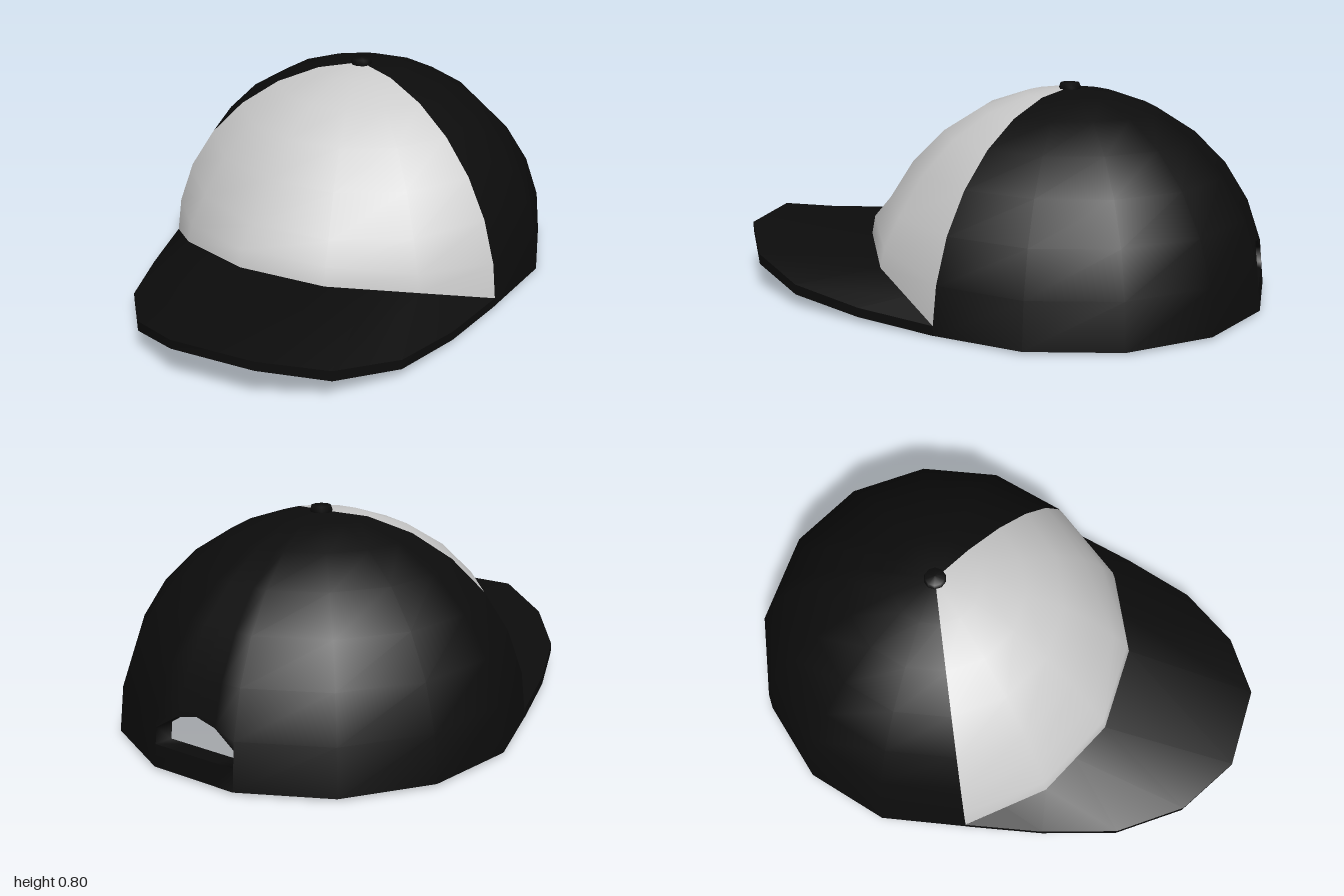
import * as THREE from 'three';
import { mergeGeometries, mergeVertices } from 'three/addons/utils/BufferGeometryUtils.js';

const STEP = Math.PI / 7;            // 14-sided crown
const R = 0.763, RI = 0.70;          // outer and lining radius
const BASE = 0.01, CZ = -0.26;       // crown centre
const V = (x, y, z) => new THREE.Vector3(x, y, z);

// surface through rows of points; faces outward when rows run left-right, bottom-top
function grid(rows, flip = false) {
  const n = rows[0].length, idx = [];
  for (let i = 0; i < rows.length - 1; i++) {
    for (let j = 0; j < n - 1; j++) {
      const a = i * n + j, b = a + 1, e = a + n, d = e + 1;
      if (flip) idx.push(a, d, b, a, e, d);
      else idx.push(a, b, d, a, d, e);
    }
  }
  const g = new THREE.BufferGeometry().setFromPoints(rows.flat());
  g.setIndex(idx);
  return g;
}

function weld(list) {
  const g = mergeVertices(mergeGeometries(list), 1e-4);
  g.computeVertexNormals();
  return g;
}

const ringY = (i, rad) => BASE + rad * Math.sin(i * STEP / 2);

// radius of the faceted dome profile at height y
function profile(y, rad) {
  for (let i = 0; i < 7; i++) {
    const y0 = ringY(i, rad), y1 = ringY(i + 1, rad);
    if (y <= y1 + 1e-6) {
      const t = Math.max(0, (y - y0) / (y1 - y0));
      return rad * THREE.MathUtils.lerp(Math.cos(i * STEP / 2), Math.cos((i + 1) * STEP / 2), t);
    }
  }
  return 0;
}

// point on the dome: k counts facets round from the front, corners at k = n + 0.5
function at(k, y, rad, r = profile(y, rad)) {
  const k0 = Math.floor(k - 0.5) + 0.5, t = k - k0;
  const corner = q => V(r * Math.sin(q * STEP), y, CZ + r * Math.cos(q * STEP));
  return corner(k0).lerp(corner(k0 + 1), t);
}

const range = (a, b, s = 1) => Array.from({ length: Math.round((b - a) / s) + 1 }, (_, i) => a + i * s);
const byFront = (k, values) => values[Math.min(3, Math.floor(Math.abs(k > 7.6 ? k - 14 : k)))];
const hem = (k, rad) => byFront(k, [0.135, 0.10, 0.005, rad === R ? BASE : 0]);
const rings = (a, rad) => range(a, 7).map(i => () => [ringY(i, rad)]);
// panel from facet corners and rows giving [height, optional radius]
const panel = (ks, rows, rad) =>
  grid(rows.map(f => ks.map(k => at(k, f(k)[0], rad, f(k)[1]))), rad === RI);

// rear opening: straight sill, arched top
const SILL = 0.09;
const arch = k => 0.15 + 0.07 * (1 - Math.pow(Math.abs(k - 7) * 2, 2));

// black shell with the rear opening, for either radius
function shellParts(rad) {
  const hemRow = k => [hem(k, rad), rad];
  const back = range(6.5, 7.5, 0.25);
  return [
    panel(range(2.5, 6.5), [hemRow, ...rings(1, rad)], rad),
    panel(range(7.5, 11.5), [hemRow, ...rings(1, rad)], rad),
    panel(back, [hemRow, () => [SILL]], rad),
    panel(back, [k => [arch(k)], k => [Math.max(arch(k), ringY(1, rad))], ...rings(2, rad)], rad),
  ];
}

export function createModel() {
  const cap = new THREE.Group();
  cap.name = 'cap';
  const black = new THREE.MeshStandardMaterial({ color: 0x0c0c0c, side: THREE.DoubleSide });
  const grey = new THREE.MeshStandardMaterial({ color: 0xcccccc });
  const add = (name, geometry, material = black) => {
    const m = new THREE.Mesh(geometry, material);
    m.name = name;
    cap.add(m);
    return m;
  };

  // light front panel, starting on the brim seam
  const frontKs = range(-2.5, 2.5);
  const seam = k => [byFront(k, [0.195, 0.16, 0.04]), R];
  const aboveSeam = k => [byFront(k, [0.265, 0.23, ringY(1, R)]), byFront(k, [0.75, 0.747, profile(ringY(1, R), R)])];
  add('frontPanel', weld([panel(frontKs, [seam, aboveSeam, ...rings(2, R)], R)]), grey);

  // dark sides and back
  add('crownBack', weld(shellParts(R)));

  // lining
  add('lining', weld([
    ...shellParts(RI),
    panel(frontKs, [k => [hem(k, RI), RI], ...rings(1, RI)], RI),
  ]));

  // hem joining shell and lining
  add('hem', weld([grid([RI, R].map(rad => range(-2.5, 11.5).map(k => at(k, hem(k, rad), rad, rad))))]));

  // walls of the rear opening
  const ks = range(6.5, 7.5, 0.25);
  const loop = [...ks.map(k => [k, SILL]), ...[...ks].reverse().map(k => [k, arch(k)]), [6.5, SILL]];
  add('openingEdge', weld([grid([R, RI].map(rad => loop.map(([k, y]) => at(k, y, rad))))]));

  // brim: outer edge as [x, top y, bottom y, z] from the side corner to the front
  const edge = [[0.688, 0.04, 0.005, 0.071], [0.62, 0.055, 0.02, 0.37], [0.53, 0.088, 0.05, 0.65],
    [0.37, 0.14, 0.10, 0.87], [0.155, 0.2, 0.165, 1.0]];
  const mirror = half => [...half.map(p => V(-p.x, p.y, p.z)), ...[...half].reverse()];
  const outer = c => mirror(edge.map(e => V(e[0], e[c], e[3])));
  const inner = heights => {
    const p = [2.5, 1.5, 0.5].map((k, i) => at(k, heights[i], R, R));
    return mirror([p[0], p[0].clone().lerp(p[1], 0.5), p[1], p[1].clone().lerp(p[2], 0.5), p[2]]);
  };
  const topOut = outer(1), lowOut = outer(2);
  add('brimTop', weld([grid([topOut, inner([0.04, 0.16, 0.195])])]));
  add('brimUnderside', weld([grid([lowOut, inner([0.005, 0.10, 0.135])], true)]));
  add('brimEdge', weld([grid([lowOut, topOut])]));

  // button on top
  const profilePts = [[0, -0.02], [0.035, -0.02], [0.042, -0.003], [0.036, 0.014], [0, 0.018]];
  const button = add('button', new THREE.LatheGeometry(profilePts.map(p => new THREE.Vector2(...p)), 10));
  button.position.set(0, 0.777, CZ);

  return cap;
}
